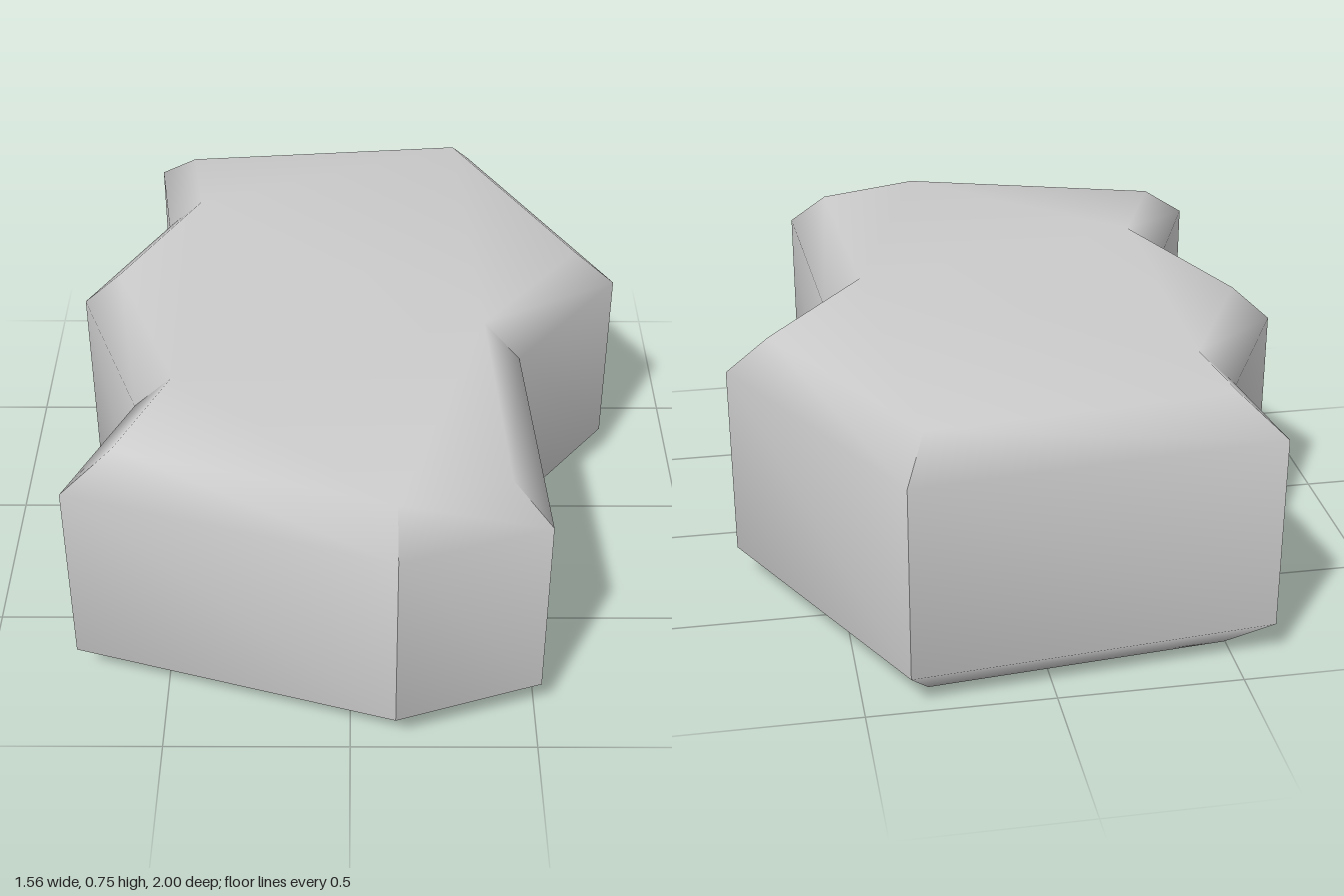
import * as THREE from 'three';

// Outline as x, z pairs, clockwise when seen from above
const OUTLINE = [
  [-0.61, -0.905], [0.38, -1.0], [0.78, -0.26], [0.475, 0.13], [0.515, 0.865],
  [0.12, 1.0], [-0.75, 0.735], [-0.59, 0.355], [-0.78, -0.155], [-0.565, -0.57],
].map(([x, z]) => new THREE.Vector2(x, z));
const HEIGHT = 0.75;
const BEVEL = 0.1;

// Mitred inward offset of a closed outline
function inset(points, d) {
  const n = points.length;
  const inward = points.map((p, i) => {
    const e = points[(i + 1) % n].clone().sub(p).normalize();
    return new THREE.Vector2(-e.y, e.x);
  });
  return points.map((p, i) => {
    const a = inward[(i + n - 1) % n], b = inward[i];
    return p.clone().addScaledVector(a.clone().add(b), d / (1 + a.dot(b)));
  });
}

// Bevelled prism: cap corners are shared (soft), upright corners are split (sharp)
function bevelledPrism(outline, height, bevel) {
  const n = outline.length;
  const cap = inset(outline, bevel);
  const positions = [];
  const index = [];
  const add = (p, y) => positions.push(p.x, y, p.y) / 3 - 1;
  const quad = (a, b, c, d) => index.push(a, d, c, a, c, b);

  const bottom = cap.map((p) => add(p, 0));
  const top = cap.map((p) => add(p, height));

  // Flat caps
  for (const [a, b, c] of THREE.ShapeUtils.triangulateShape(cap, [])) {
    index.push(bottom[a], bottom[b], bottom[c], top[c], top[b], top[a]);
  }

  // One wall with its two bevels per outline edge
  for (let i = 0; i < n; i++) {
    const j = (i + 1) % n;
    const [a, b] = [outline[i], outline[j]].map((p) => add(p, bevel));
    const [d, c] = [outline[i], outline[j]].map((p) => add(p, height - bevel));
    quad(bottom[i], bottom[j], b, a);
    quad(a, b, c, d);
    quad(d, c, top[j], top[i]);
  }

  const geometry = new THREE.BufferGeometry();
  geometry.setAttribute('position', new THREE.Float32BufferAttribute(positions, 3));
  geometry.setIndex(index);
  geometry.computeVertexNormals();
  return geometry;
}

export function createModel() {
  const group = new THREE.Group();
  group.name = 'rock';
  const stone = new THREE.MeshStandardMaterial({ color: 0xcccccc });
  stone.name = 'stone grey';
  const slab = new THREE.Mesh(bevelledPrism(OUTLINE, HEIGHT, BEVEL), stone);
  slab.name = 'stoneSlab';
  group.add(slab);
  return group;
}
